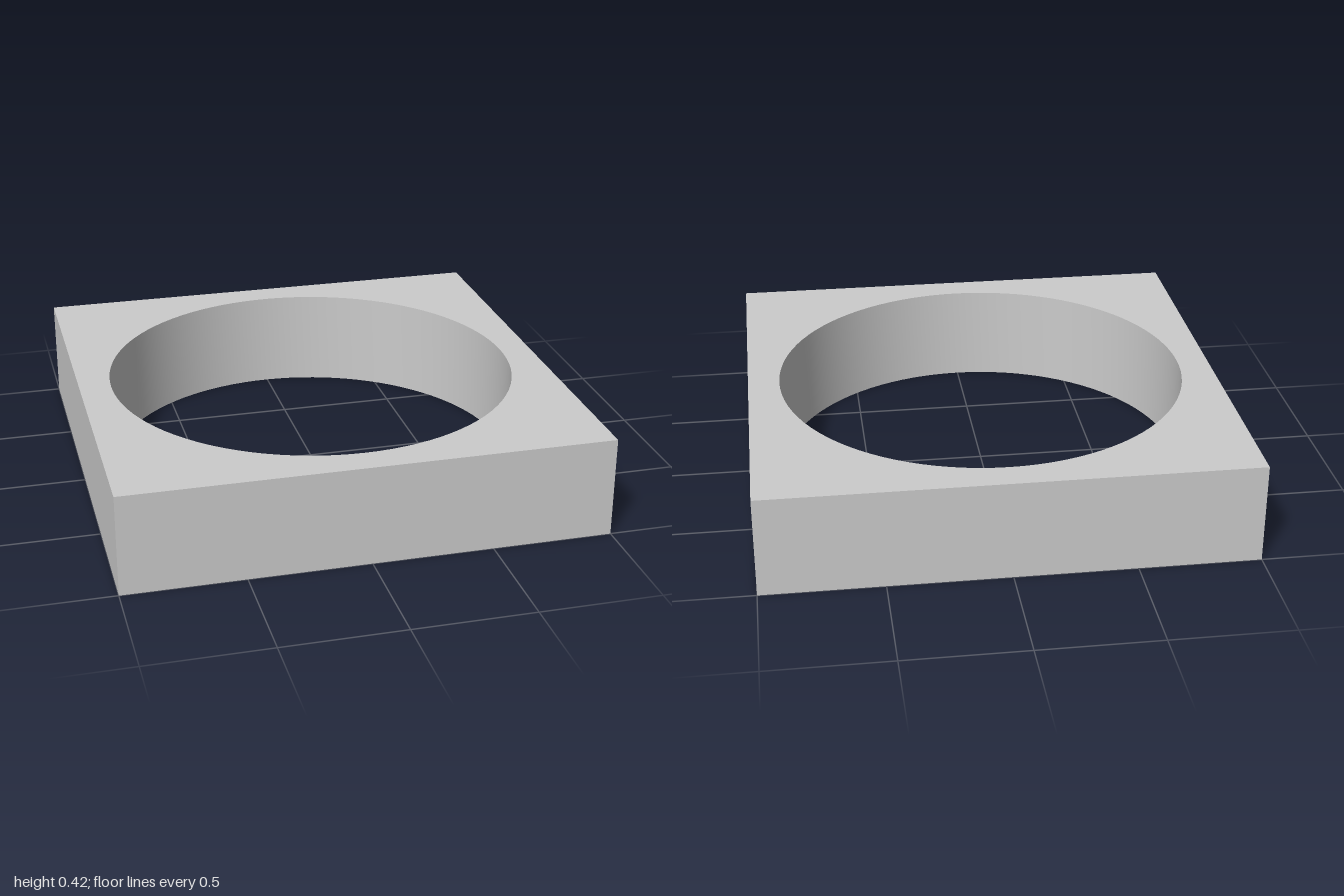
import * as THREE from 'three';
import { toCreasedNormals } from 'three/addons/utils/BufferGeometryUtils.js';

const HALF = 1;
const HEIGHT = 0.42;
const HOLE_RADIUS = 0.867;

export function createModel() {
  const group = new THREE.Group();
  group.name = 'squareRing';

  // Square outline with a round through-hole
  const outline = new THREE.Shape();
  outline.moveTo(-HALF, -HALF);
  outline.lineTo(HALF, -HALF);
  outline.lineTo(HALF, HALF);
  outline.lineTo(-HALF, HALF);
  outline.closePath();
  const hole = new THREE.Path();
  hole.absarc(0, 0, HOLE_RADIUS, 0, Math.PI * 2, true);
  outline.holes.push(hole);

  // Extruded upwards, smooth around the hole and sharp at the edges
  const extruded = new THREE.ExtrudeGeometry(outline, {
    depth: HEIGHT,
    bevelEnabled: false,
    curveSegments: 48,
  });
  extruded.rotateX(-Math.PI / 2);
  const block = new THREE.Mesh(
    toCreasedNormals(extruded, Math.PI / 6),
    new THREE.MeshStandardMaterial({ color: 0xcccccc })
  );
  block.name = 'blockWithRoundHole';
  group.add(block);

  return group;
}
